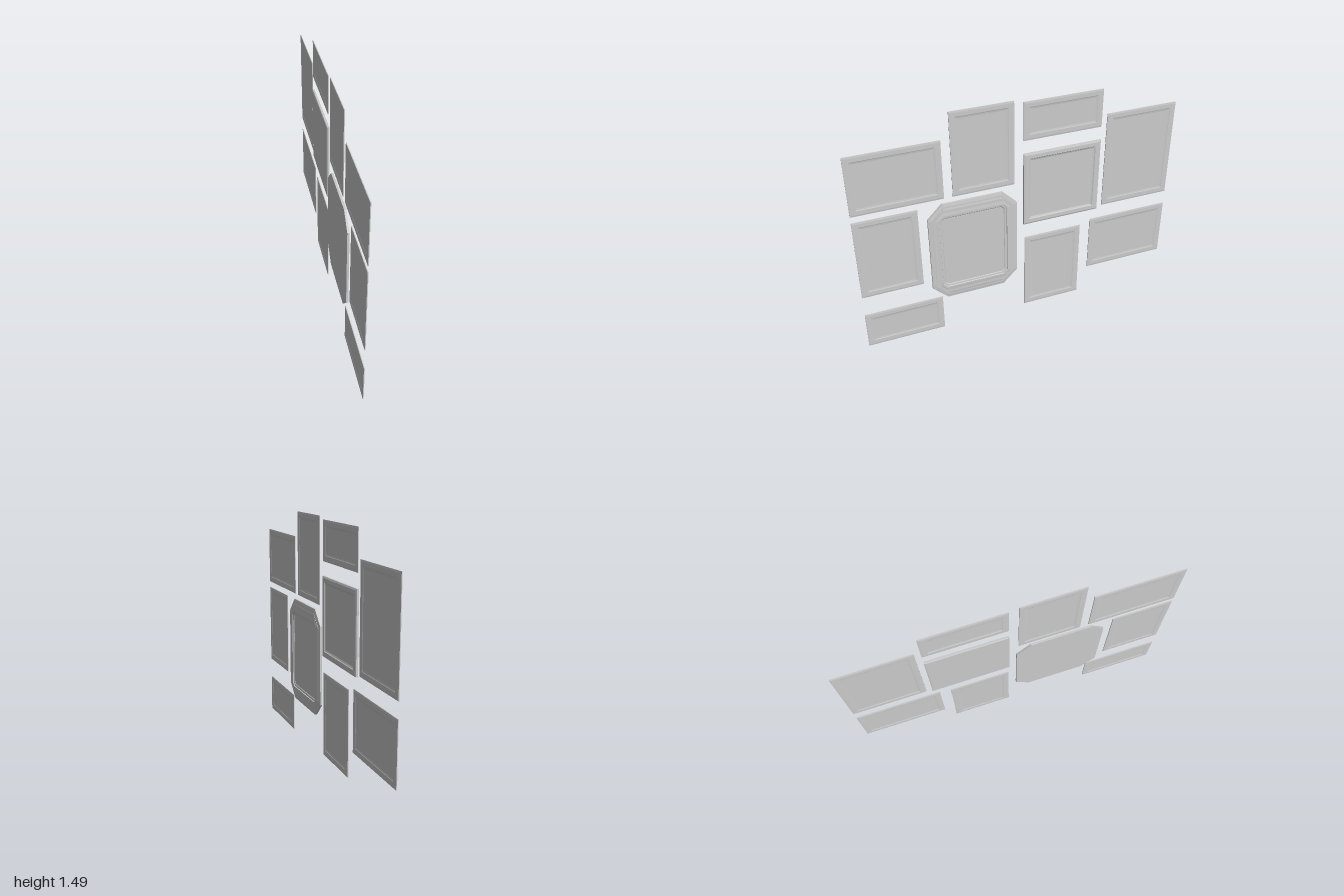
import * as THREE from 'three';

const material = new THREE.MeshStandardMaterial({ color: 0xcccccc, flatShading: true });

// Outline in the z-y plane, counter-clockwise seen from +x; c cuts the corners
function outline(hz, hy, c) {
  if (!c) return [[-hz, -hy], [-hz, hy], [hz, hy], [hz, -hy]];
  return [
    [-hz, -hy + c], [-hz, hy - c], [-hz + c, hy], [hz - c, hy],
    [hz, hy - c], [hz, -hy + c], [hz - c, -hy], [-hz + c, -hy],
  ];
}

// Closed shell through rings [insetZ, insetY, cornerCut, x], from back to face
function ringShell(width, height, rings) {
  const loops = rings.map(([iz, iy, c, x]) =>
    outline(width / 2 - iz, height / 2 - iy, c).map(([z, y]) => [x, y, z]));
  const n = loops[0].length;
  const pos = [];
  const tri = (a, b, c) => pos.push(...a, ...b, ...c);
  const first = loops[0], last = loops[loops.length - 1];
  for (let j = 0; j < n; j++) {
    const k = (j + 1) % n;
    for (let i = 0; i + 1 < loops.length; i++) {
      const a = loops[i], b = loops[i + 1];
      tri(a[j], a[k], b[k]);
      tri(a[j], b[k], b[j]);
    }
    tri([first[0][0], 0, 0], first[k], first[j]);
    tri([last[0][0], 0, 0], last[j], last[k]);
  }
  const geo = new THREE.BufferGeometry();
  geo.setAttribute('position', new THREE.Float32BufferAttribute(pos, 3));
  geo.computeVertexNormals();
  return geo;
}

// Moulding of a rectangular frame: [inset, x]
const moulding = (t) => [[0, t * 0.6], [0.01, t], [0.034, t], [0.038, t * 0.6], [0.048, t * 0.25]];
const toRings = (profile) => profile.map(([i, x]) => [i, i, 0, x]);

// Thin frames are moulded on both sides, the deep one has a flat back
const thinFace = moulding(0.004);
const thinRings = toRings([...thinFace.map(([i, x]) => [i, -x]).reverse(), ...thinFace]);
const deepRings = toRings([[0.006, -0.009], [0, -0.006], ...moulding(0.009)]);

// Cut-corner frame with a stepped border and a raised inner lip
const octagonRings = [
  [0, 0, 0.09, -0.01],
  [0, 0, 0.09, 0.003],
  [0.015, 0.02, 0.085, 0.006],
  [0.022, 0.028, 0.08, 0.006],
  [0.03, 0.04, 0.06, 0.008],
  [0.045, 0.058, 0.045, 0.008],
  [0.058, 0.076, 0.028, 0.01],
  [0.065, 0.083, 0.025, 0.01],
  [0.067, 0.085, 0.024, 0.005],
  [0.08, 0.096, 0.018, 0.004],
  [0.083, 0.1, 0.016, 0.001],
];

// name, z min, z max, y min, y max, rings
const frames = [
  ['upperFrontFrame', 0.465, 1, 0.953, 1.325, thinRings],
  ['topTallFrame', 0.037, 0.413, 0.953, 1.485, thinRings],
  ['topWideFrame', -0.51, -0.02, 1.226, 1.467, thinRings],
  ['upperRearTallFrame', -1, -0.545, 0.67, 1.302, thinRings],
  ['deepSquareFrame', -0.51, -0.02, 0.653, 1.14, deepRings],
  ['middleFrontFrame', 0.625, 1, 0.38, 0.912, thinRings],
  ['lowerFrontFrame', 0.515, 1, 0, 0.245, thinRings],
  ['lowerTallFrame', -0.402, -0.027, 0.022, 0.552, thinRings],
  ['lowerRearFrame', -1, -0.47, 0.203, 0.578, thinRings],
  ['cutCornerFrame', 0.024, 0.571, 0.235, 0.915, octagonRings],
];

export function createModel() {
  const group = new THREE.Group();
  group.name = 'pictureFrameWall';
  for (const [name, z0, z1, y0, y1, rings] of frames) {
    const mesh = new THREE.Mesh(ringShell(z1 - z0, y1 - y0, rings), material);
    mesh.name = name;
    mesh.position.set(0, (y0 + y1) / 2, (z0 + z1) / 2);
    group.add(mesh);
  }
  return group;
}
